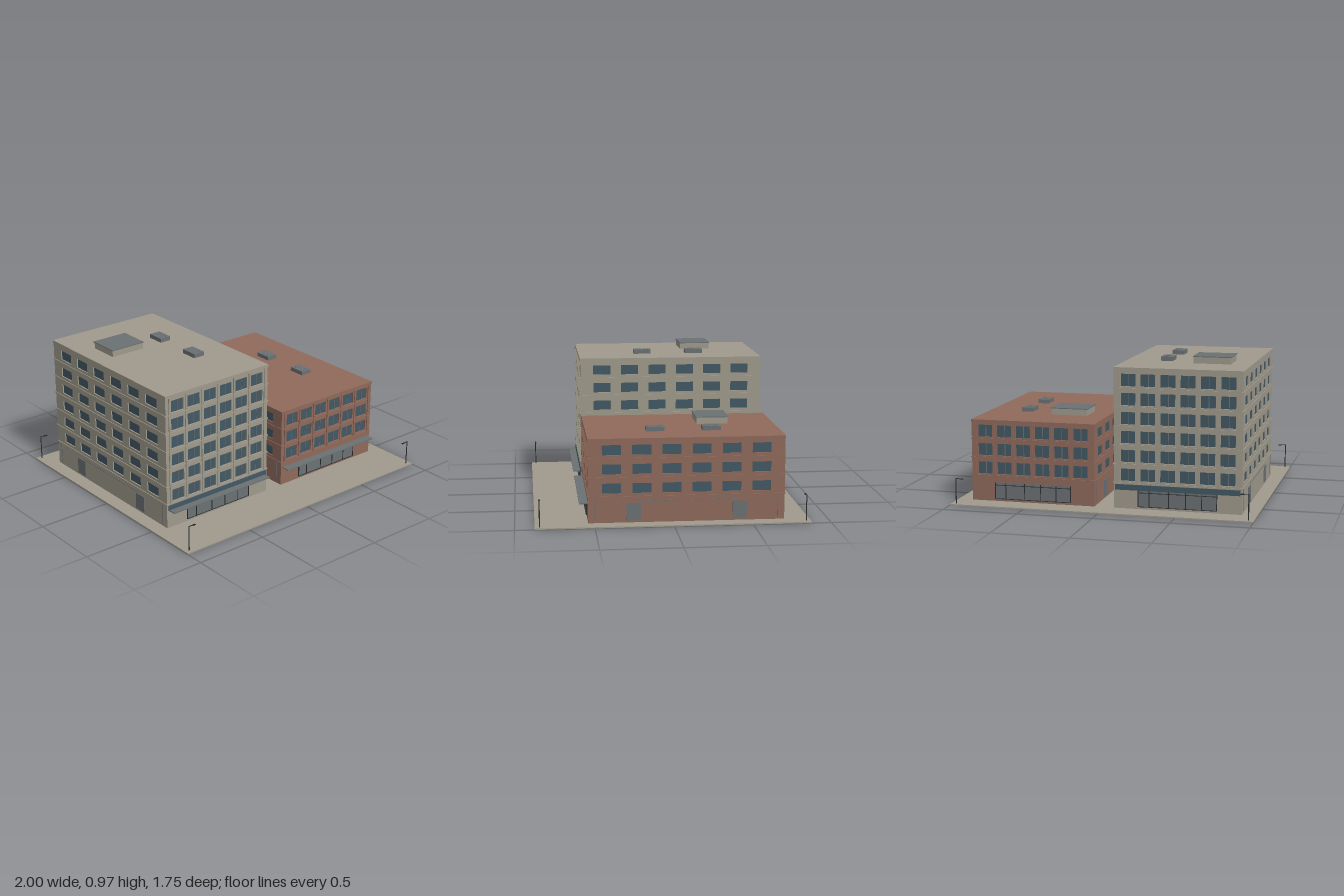
import * as THREE from 'three';

const mat = (name, color) => {
  const m = new THREE.MeshStandardMaterial({ color });
  m.name = name;
  return m;
};

export function createModel() {
  const stone = mat('stone', 0xa09a8c);
  const brick = mat('brick', 0x906a5b);
  const glass = mat('windowGlass', 0x435863);
  const metal = mat('greyMetal', 0x6b7174);
  const dark = mat('darkMetal', 0x2c2f32);

  const model = new THREE.Group();
  model.name = 'cityBlock';

  // box given by its centre and size
  function box(parent, name, material, x, y, z, w, h, d) {
    const mesh = new THREE.Mesh(new THREE.BoxGeometry(w, h, d), material);
    mesh.position.set(x, y, z);
    mesh.name = name;
    parent.add(mesh);
    return mesh;
  }

  const rect = (C, x, y, w, h) => {
    const p = new C();
    p.moveTo(x - w / 2, y - h / 2);
    p.lineTo(x + w / 2, y - h / 2);
    p.lineTo(x + w / 2, y + h / 2);
    p.lineTo(x - w / 2, y + h / 2);
    p.closePath();
    return p;
  };

  const W = 0.418, D = 0.626;            // half width and half depth of a building
  const BASE = 0.175, FLOOR = 0.123;     // ground floor top, storey height
  const ZC = -0.0885, SKIN = 0.012;

  // pierced outer wall with recessed glass, lying in the xy plane, outside at z = 0
  function facade(wall, width, floors, top, pitch, winW, winH, dressed) {
    const g = new THREE.Group();
    const shape = rect(THREE.Shape, 0, (BASE + top) / 2, width, top - BASE);
    for (let f = 0; f < floors; f++) {
      const y = BASE + 0.054 + f * FLOOR;
      for (let c = 0; c < 6; c++) {
        const x = (c - 2.5) * pitch;
        shape.holes.push(rect(THREE.Path, x, y, winW, winH));
        box(g, 'windowPane', glass, x, y, -SKIN + 0.002, winW, winH, 0.004);
        if (dressed) {
          box(g, 'windowMullion', metal, x + 0.004, y, -SKIN + 0.006, 0.004, winH, 0.004);
          box(g, 'windowSill', wall, x, y - winH / 2 - 0.003, 0.001, winW + 0.008, 0.005, 0.006);
        }
      }
    }
    const skin = new THREE.Mesh(
      new THREE.ExtrudeGeometry(shape, { depth: SKIN, bevelEnabled: false }), wall);
    skin.position.z = -SKIN;
    skin.name = 'piercedWall';
    g.add(skin);
    // slim fins between the window columns
    if (dressed) for (let i = 0; i < 7; i++) {
      box(g, 'facadeFin', wall, (i - 3) * pitch, (BASE + top - 0.02) / 2, 0.002,
        0.008, top - 0.02 - BASE, 0.008);
    }
    return g;
  }

  // glazed shop front, outside at z = 0
  function shopFront() {
    const g = new THREE.Group();
    box(g, 'shopGlass', metal, 0, 0.078, 0.002, 0.515, 0.108, 0.004);
    for (const x of [-0.257, -0.185, -0.055, 0.055, 0.16, 0.257])
      box(g, 'shopMullion', dark, x, 0.078, 0.004, 0.005, 0.108, 0.006);
    for (const y of [0.024, 0.116])
      box(g, 'shopRail', dark, 0, y, 0.004, 0.515, 0.004, 0.006);
    return g;
  }

  // side doors with slim service pipes
  function sideEntrance() {
    const g = new THREE.Group();
    for (const s of [-1, 1]) {
      box(g, 'sideDoor', metal, s * 0.338, 0.078, 0.002, 0.09, 0.112, 0.004);
      box(g, 'downPipe', metal, s * 0.583, 0.095, 0.001, 0.005, 0.14, 0.004);
    }
    box(g, 'serviceRail', metal, 0, 0.147, 0.001, 0.64, 0.004, 0.004);
    return g;
  }

  function building(name, wall, cx, floors, top, signBand) {
    const b = new THREE.Group();
    b.name = name;
    b.position.set(cx, 0, ZC);
    box(b, 'groundFloor', wall, 0, BASE / 2, 0, 2 * W, BASE, 2 * D);
    box(b, 'upperCore', wall, 0, (BASE + top) / 2, 0,
      2 * (W - SKIN), top - BASE, 2 * (D - SKIN));

    // four facades: dressed front and back, plainer sides
    for (let i = 0; i < 4; i++) {
      const side = i % 2 === 1;
      const face = new THREE.Group();
      face.name = ['frontFacade', 'leftFacade', 'backFacade', 'rightFacade'][i];
      face.rotation.y = i * Math.PI / 2;
      const out = side ? W : D;
      face.position.set(Math.sin(face.rotation.y) * out, 0, Math.cos(face.rotation.y) * out);
      if (side) {
        face.add(facade(wall, 2 * D, floors, top, 0.191, 0.12, 0.065, false));
        face.add(sideEntrance());
      } else {
        face.add(facade(wall, 2 * W, floors, top, 0.13, 0.097, 0.08, true));
        face.add(shopFront());
        if (signBand) box(face, 'fasciaBand', glass, 0, 0.148, 0.003, 0.815, 0.036, 0.008);
      }
      b.add(face);
    }

    // storey ledges and roof coping
    for (let f = 0; f < floors; f++)
      box(b, 'storeyLedge', wall, 0, BASE + f * FLOOR, 0, 2 * W + 0.01, 0.007, 2 * D + 0.01);
    box(b, 'roofCoping', wall, 0, top - 0.009, 0, 2 * W + 0.006, 0.018, 2 * D + 0.006);

    // entrance canopy with small brackets
    box(b, 'canopy', metal, 0, 0.132, D + 0.028, 0.803, 0.007, 0.056);
    for (const x of [-0.33, -0.11, 0.11, 0.33])
      box(b, 'canopyBracket', dark, x, 0.122, D + 0.012, 0.004, 0.014, 0.024);

    // roof house and ventilation units
    const roofX = -0.162;
    box(b, 'roofHouse', stone, roofX, top + 0.021, -0.221, 0.246, 0.042, 0.208);
    box(b, 'roofHouseCap', metal, roofX, top + 0.045, -0.221, 0.255, 0.006, 0.217);
    for (const z of [-0.186, 0.179]) {
      box(b, 'ventUnit', metal, 0.156, top + 0.014, z, 0.08, 0.028, 0.12);
      for (const s of [-1, 1]) {
        const fan = new THREE.Mesh(new THREE.TorusGeometry(0.02, 0.002, 4, 16), metal);
        fan.rotation.x = Math.PI / 2;
        fan.position.set(0.156, top + 0.028, z + s * 0.028);
        fan.name = 'ventFan';
        b.add(fan);
      }
    }
    model.add(b);
  }

  // paved plot
  box(model, 'pavedPlot', stone, 0, 0.004, 0, 2, 0.008, 1.75);

  building('tallBuilding', stone, -0.485, 6, 0.925, true);
  building('lowBuilding', brick, 0.482, 3, 0.549, false);

  // street lamps at the four corners, arms pointing inward
  for (const sx of [-1, 1]) for (const z of [-0.845, 0.845]) {
    const lamp = new THREE.Group();
    lamp.name = 'streetLamp';
    lamp.position.set(sx * 0.967, 0, z);
    const pole = new THREE.Mesh(new THREE.CylinderGeometry(0.003, 0.004, 0.17, 8), dark);
    pole.position.y = 0.09;
    pole.name = 'lampPole';
    lamp.add(pole);
    box(lamp, 'lampArm', dark, -sx * 0.022, 0.174, 0, 0.05, 0.004, 0.004);
    box(lamp, 'lampHead', dark, -sx * 0.04, 0.172, 0, 0.022, 0.006, 0.01);
    model.add(lamp);
  }
  return model;
}
